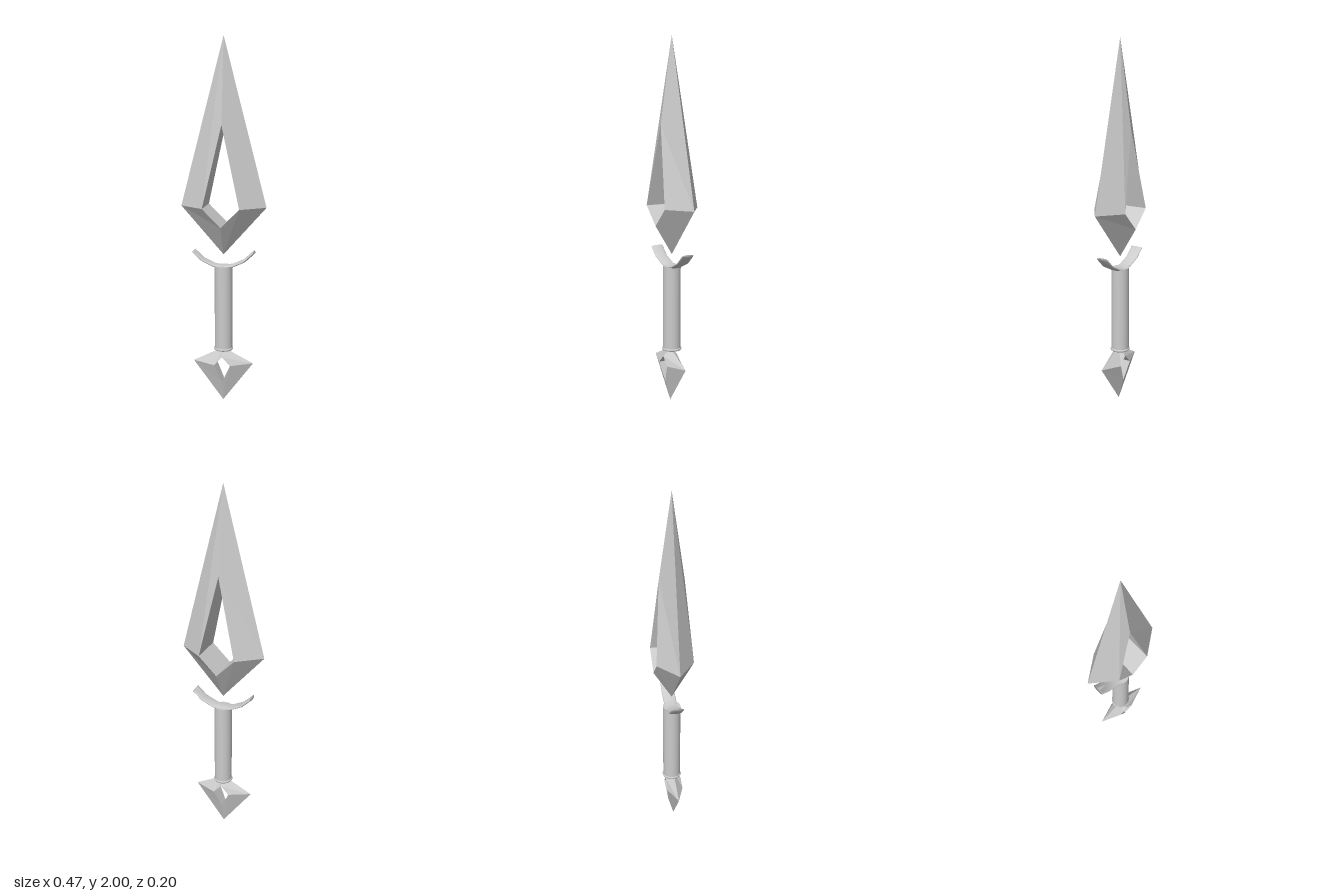
import * as THREE from 'three';

const material = new THREE.MeshStandardMaterial({ color: 0xcccccc });
const facetMaterial = new THREE.MeshStandardMaterial({ color: 0xcccccc, flatShading: true });

function addMesh(parent, name, geometry, mat = material) {
  const mesh = new THREE.Mesh(geometry, mat);
  mesh.name = name;
  parent.add(mesh);
  return mesh;
}

// Faceted diamond frame: sharp outer rim at z = 0, raised inner rim around a hole.
// Corners run top, left, bottom, right; inner corners are [x, y, half depth].
function diamondFrame(outer, inner) {
  const pos = [];
  const quad = (a, b, c, d) => pos.push(...a, ...b, ...c, ...a, ...c, ...d);
  for (let i = 0; i < 4; i++) {
    const j = (i + 1) % 4;
    const oi = [...outer[i], 0], oj = [...outer[j], 0];
    const fi = inner[i], fj = inner[j];
    const bi = [fi[0], fi[1], -fi[2]], bj = [fj[0], fj[1], -fj[2]];
    quad(oi, oj, fj, fi); // front bevel
    quad(oj, oi, bi, bj); // back bevel
    quad(fi, fj, bj, bi); // wall of the hole
  }
  const g = new THREE.BufferGeometry();
  g.setAttribute('position', new THREE.Float32BufferAttribute(pos, 3));
  g.computeVertexNormals();
  return g;
}

// Flattened elliptical bar swept along a curve in the xy plane, with closed ends.
function flatBar(points, halfThickness, halfWidth, sides = 16) {
  const pos = [], index = [];
  points.forEach(([x, y], i) => {
    const p = points[Math.max(i - 1, 0)], n = points[Math.min(i + 1, points.length - 1)];
    const t = new THREE.Vector2(n[0] - p[0], n[1] - p[1]).normalize();
    for (let k = 0; k < sides; k++) {
      const a = (k / sides) * Math.PI * 2;
      const h = Math.cos(a) * halfThickness;
      pos.push(x - t.y * h, y + t.x * h, Math.sin(a) * halfWidth);
    }
  });
  const last = (points.length - 1) * sides;
  for (let i = 0; i < last; i += sides) {
    for (let k = 0; k < sides; k++) {
      const a = i + k, b = i + ((k + 1) % sides);
      index.push(a, b, a + sides, b, b + sides, a + sides);
    }
  }
  for (let k = 1; k < sides - 1; k++) {
    index.push(0, k + 1, k, last, last + k, last + k + 1);
  }
  const g = new THREE.BufferGeometry();
  g.setAttribute('position', new THREE.Float32BufferAttribute(pos, 3));
  g.setIndex(index);
  g.computeVertexNormals();
  return g;
}

export function createModel() {
  const dagger = new THREE.Group();
  dagger.name = 'dagger';

  // Floating blade with a kite-shaped opening
  addMesh(dagger, 'blade', diamondFrame(
    [[0, 2], [-0.233, 1.1], [0, 0.837], [0.233, 1.1]],
    [[0, 1.54, 0.067], [-0.1, 1.1, 0.1], [0, 1.0, 0.1], [0.1, 1.1, 0.1]],
  ), facetMaterial);

  // Upturned guard
  addMesh(dagger, 'guard', flatBar(
    [[-0.167, 0.855], [-0.115, 0.806], [-0.05, 0.776], [0, 0.77],
      [0.05, 0.776], [0.115, 0.806], [0.167, 0.855]],
    0.008, 0.036,
  ));

  // Grip
  const grip = addMesh(dagger, 'grip', new THREE.CylinderGeometry(0.049, 0.049, 0.47, 24));
  grip.position.y = 0.54;

  // Rounded collar under the grip
  const collar = addMesh(dagger, 'collar', new THREE.TorusGeometry(0.046, 0.008, 8, 24));
  collar.rotation.x = Math.PI / 2;
  collar.position.y = 0.305;

  // Pommel with a small opening
  const pommel = addMesh(dagger, 'pommel', diamondFrame(
    [[0, 0.312], [-0.167, 0.227], [0, 0.005], [0.167, 0.227]],
    [[0, 0.266, 0.043], [-0.045, 0.22, 0.046], [0, 0.12, 0.032], [0.045, 0.22, 0.046]],
  ), facetMaterial);
  pommel.position.z = 0.01;

  return dagger;
}
